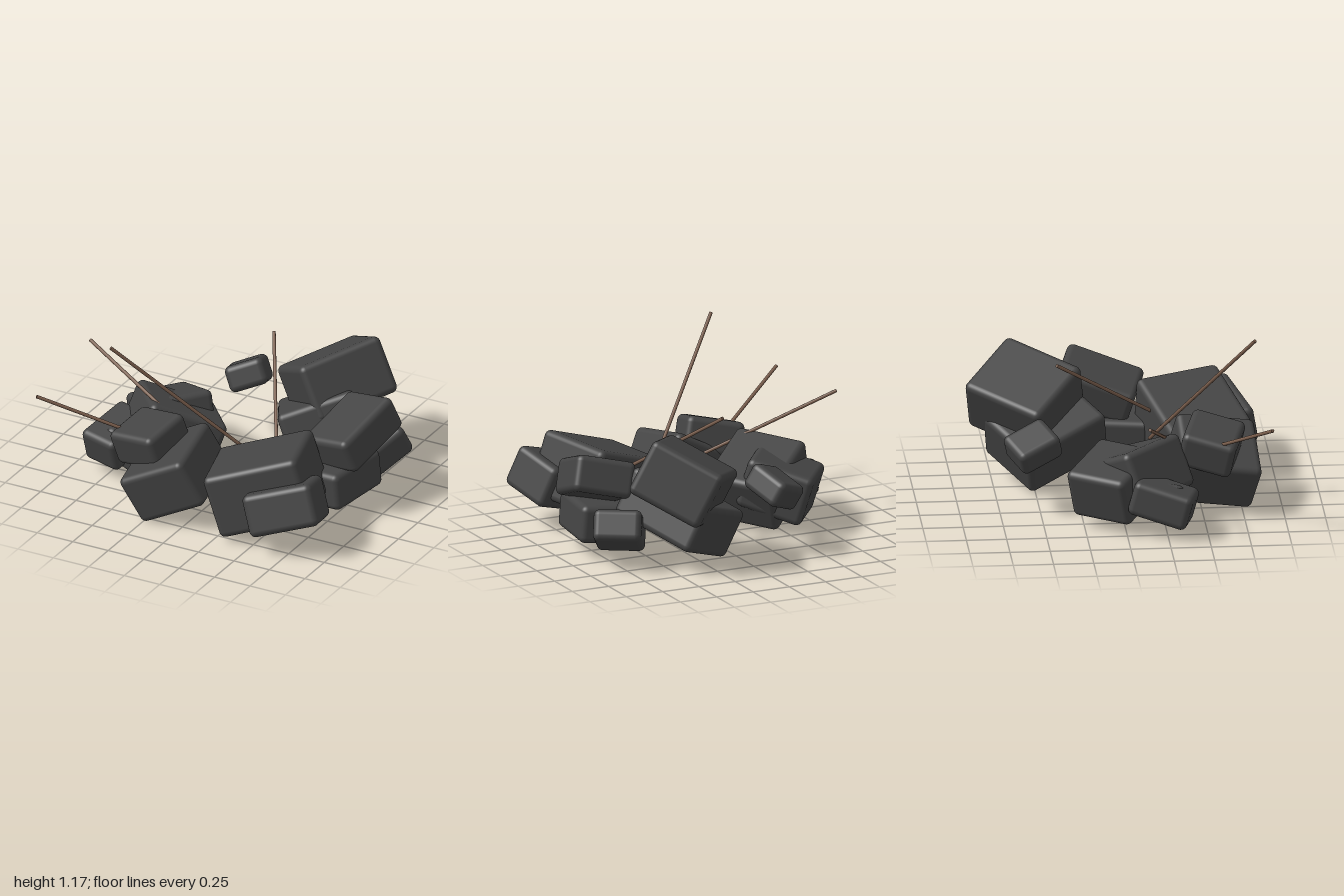
import * as THREE from 'three';
import { RoundedBoxGeometry } from 'three/addons/geometries/RoundedBoxGeometry.js';

const rad = THREE.MathUtils.degToRad;

export function createModel() {
  const model = new THREE.Group();
  model.name = 'stoneRing';
  const rock = new THREE.MeshStandardMaterial({ name: 'darkStone', color: 0x444444 });
  const wood = new THREE.MeshStandardMaterial({ name: 'brownWood', color: 0x7d604e });

  const cluster = (name) => {
    const group = new THREE.Group();
    group.name = name;
    model.add(group);
    return group;
  };

  // Rounded stone: size, centre, then yaw, pitch and roll in degrees
  const stone = (group, name, size, centre, [yaw, pitch, roll]) => {
    const mesh = new THREE.Mesh(new RoundedBoxGeometry(...size, 4, 0.04), rock);
    mesh.name = name;
    mesh.position.set(...centre);
    mesh.rotation.set(rad(roll), rad(yaw), rad(pitch), 'YZX');
    group.add(mesh);
  };

  // Thin straight stick between two points
  const stick = (group, name, tip, foot) => {
    const a = new THREE.Vector3(...tip);
    const b = new THREE.Vector3(...foot);
    const dir = b.clone().sub(a);
    const mesh = new THREE.Mesh(new THREE.CylinderGeometry(0.011, 0.011, dir.length(), 10), wood);
    mesh.name = name;
    mesh.position.copy(a).add(b).multiplyScalar(0.5);
    mesh.quaternion.setFromUnitVectors(new THREE.Vector3(0, 1, 0), dir.normalize());
    group.add(mesh);
  };

  // Stones along the front
  const front = cluster('frontStones');
  stone(front, 'frontStone', [0.62, 0.41, 0.54], [0.455, 0.295, 0.5], [18, 18, -4]);
  stone(front, 'frontCornerStone', [0.45, 0.27, 0.36], [0.685, 0.27, 0.67], [20, 16, -16]);
  stone(front, 'frontInnerStone', [0.48, 0.33, 0.5], [-0.145, 0.265, 0.585], [3, 27, 10]);
  stone(front, 'frontTopStone', [0.37, 0.23, 0.34], [-0.33, 0.44, 0.555], [-16, 11, 14]);

  // Stones at the back
  const back = cluster('backStones');
  stone(back, 'backLargeStone', [0.5, 0.37, 0.56], [0.385, 0.535, -0.545], [-42, 25, 13]);
  stone(back, 'backLowerStone', [0.5, 0.32, 0.6], [0.35, 0.3, -0.42], [34, 18, -18]);
  stone(back, 'looseStone', [0.25, 0.17, 0.29], [-0.24, 0.42, -0.545], [28, 19, -22]);

  // Stones on the +x side
  const left = cluster('leftStones');
  stone(left, 'leftUpperStone', [0.38, 0.23, 0.5], [0.755, 0.475, -0.065], [-15, 12, 19]);
  stone(left, 'leftLowerStone', [0.35, 0.24, 0.47], [0.7, 0.2, 0.03], [-8, 5, 1]);
  stone(left, 'leftBackStone', [0.3, 0.2, 0.38], [0.74, 0.22, -0.37], [-31, 0, 27]);

  // Stones on the -x side
  const right = cluster('rightStones');
  stone(right, 'rightLargeStone', [0.47, 0.34, 0.52], [-0.43, 0.28, 0.075], [-50, 5, -23]);
  stone(right, 'rightBackStone', [0.43, 0.32, 0.42], [-0.52, 0.27, -0.06], [-37, 17, 0]);
  stone(right, 'rightInnerStone', [0.33, 0.22, 0.32], [-0.61, 0.18, 0.2], [-8, -18, 8]);
  stone(right, 'rightOuterStone', [0.28, 0.22, 0.38], [-0.735, 0.21, 0.225], [-15, -2, 15]);

  // Sticks leaning out of the ring
  const sticks = cluster('sticks');
  stick(sticks, 'tallStick', [-0.47, 1.15, 0.815], [0.27, 0.28, 0.22]);
  stick(sticks, 'rightStick', [-0.995, 0.765, 0.12], [-0.09, 0.37, 0.35]);
  stick(sticks, 'frontStick', [-0.955, 0.725, 0.885], [-0.2, 0.33, 0.42]);
  stick(sticks, 'backStick', [0.03, 0.85, -0.375], [0.39, 0.41, 0.25]);

  return model;
}
